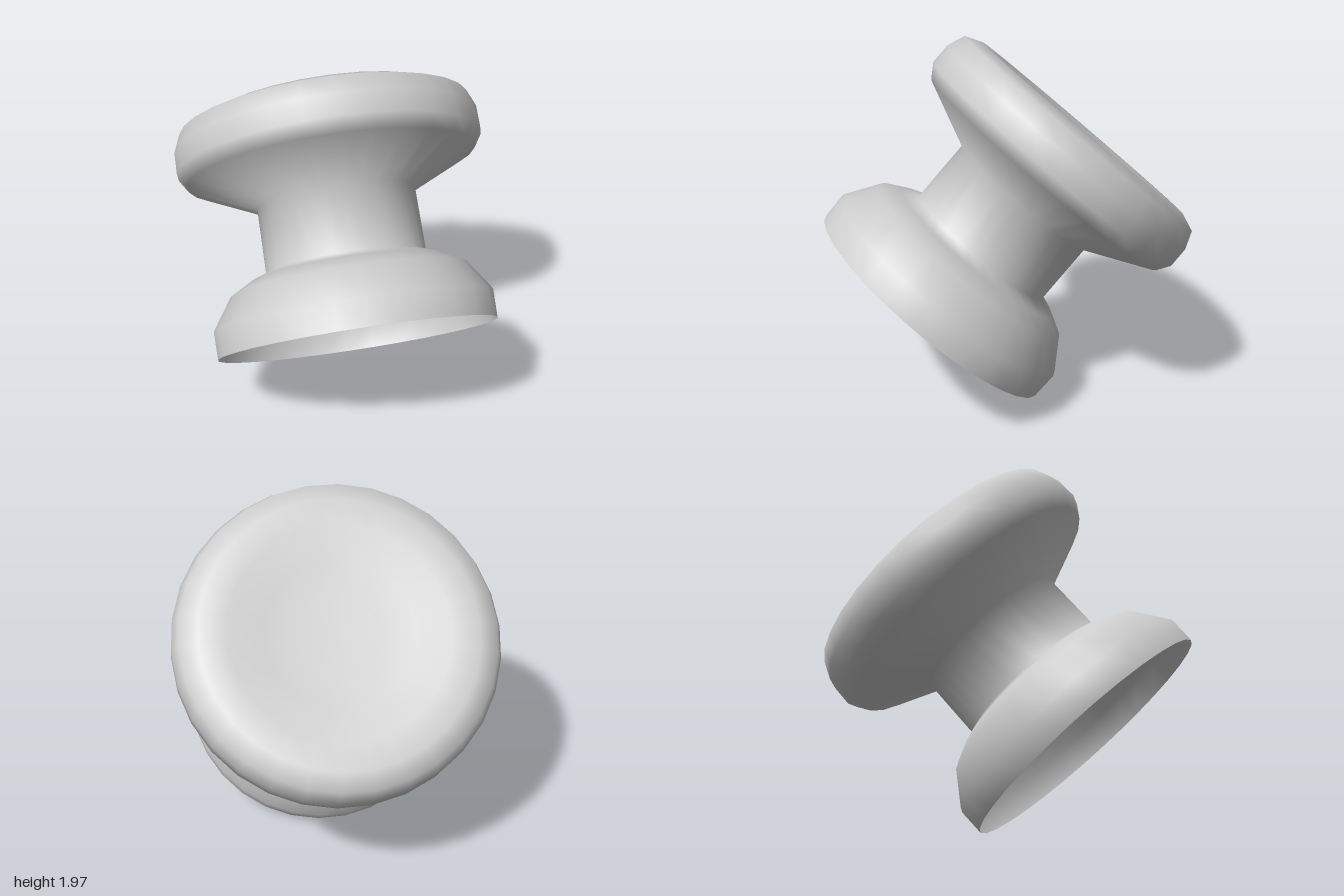
import * as THREE from 'three';

// Tilted, hollow knob: one thin shell turned around a leaning axis.
export function createModel() {
  const model = new THREE.Group();
  model.name = 'knob';

  const grey = new THREE.MeshStandardMaterial({ color: 0xcccccc, side: THREE.DoubleSide });
  grey.name = 'light grey';

  // [radius, height along the axis]
  const profile = [
    // open flared base
    [0.764, 0], [0.767, 0.149], [0.652, 0.323], [0.543, 0.385],
    // neck
    [0.443, 0.423], [0.441, 0.781],
    // wide head with rounded rim
    [0.804, 0.955], [0.851, 1.028], [0.849, 1.145], [0.811, 1.243], [0.714, 1.281],
    // bowl sunk into the top
    [0.57, 1.281], [0.4, 1.244], [0.2, 1.23], [0, 1.226],
  ].map(([r, h]) => new THREE.Vector2(r, h));

  const shell = new THREE.Mesh(new THREE.LatheGeometry(profile, 30, Math.PI / 2), grey);
  shell.name = 'knobShell';
  shell.position.set(0, 0.505, 0.43);
  shell.rotation.x = -0.725;
  model.add(shell);

  return model;
}
